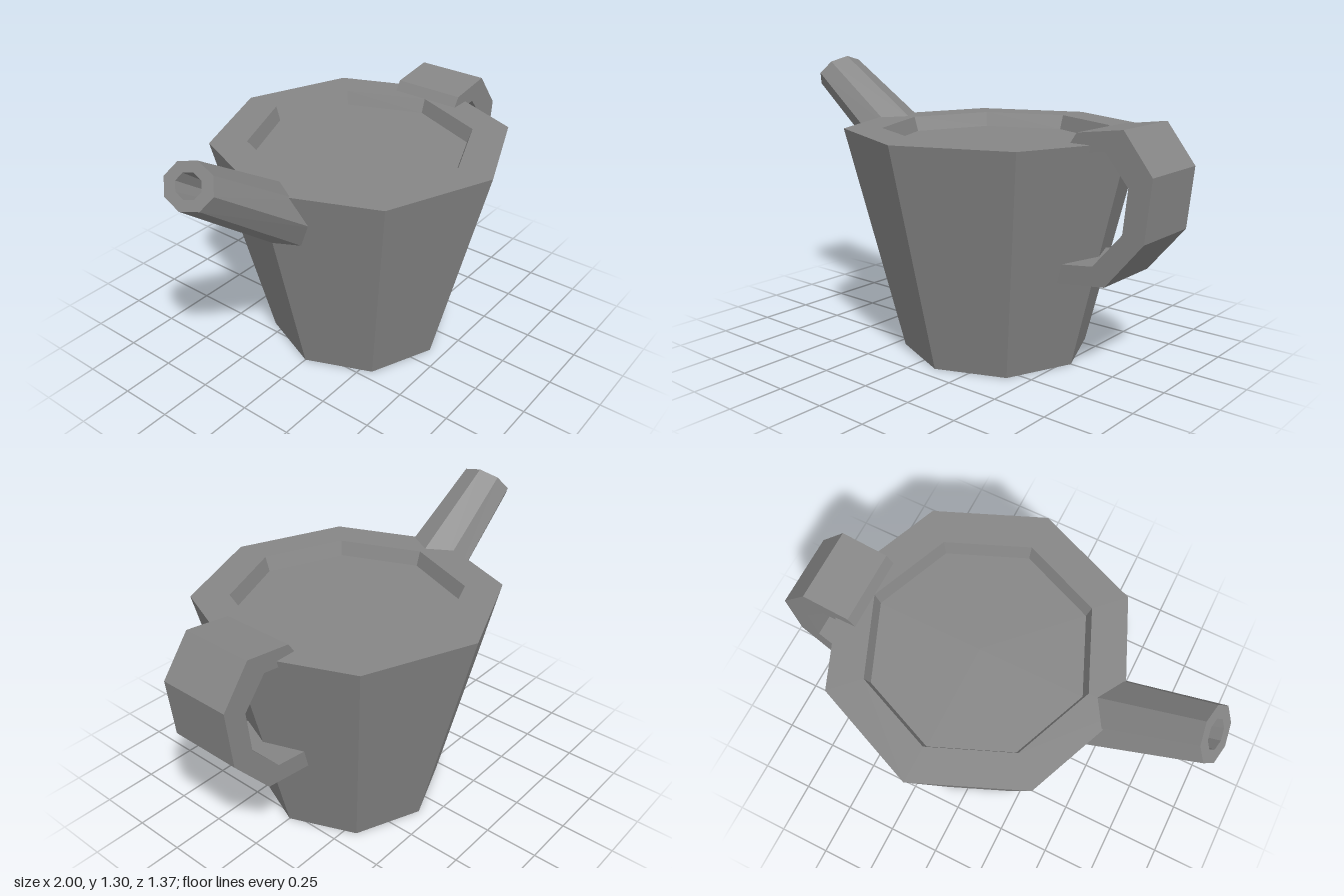
import * as THREE from 'three';

const material = new THREE.MeshStandardMaterial({ color: 0x868686, flatShading: true });

// Eight-sided solid of revolution from [radius, height] pairs, listed base to top
function octagonal(name, profile) {
  const points = profile.map(([r, y]) => new THREE.Vector2(r, y));
  const mesh = new THREE.Mesh(new THREE.LatheGeometry(points, 8), material);
  mesh.name = name;
  return mesh;
}

export function createModel() {
  const model = new THREE.Group();
  model.name = 'wateringCan';

  // Tapered body with a wide rim and a shallow recessed top
  const body = octagonal('body', [
    [0, 0], [0.43, 0], [0.686, 1.03], [0.517, 1.03], [0.495, 0.963], [0, 0.963],
  ]);
  body.position.x = 0.103;
  model.add(body);

  // Spout: slightly tapered, wider in z, with a blind hole at the tip
  const length = 0.62;
  const tilt = 0.95;
  const spout = octagonal('spout', [
    [0, 0], [0.13, 0], [0.1, length], [0.053, length], [0.045, length - 0.14], [0, length - 0.14],
  ]);
  // Slant the buried end so that it stays inside the body wall
  const corners = spout.geometry.attributes.position;
  for (let i = 0; i < corners.count; i++) {
    if (corners.getY(i) < 0.01) corners.setY(i, 0.7 * corners.getX(i));
  }
  spout.scale.z = 1.32;
  spout.rotation.z = tilt;
  spout.position.set(-0.945 + length * Math.sin(tilt), 1.222 - length * Math.cos(tilt), 0);
  model.add(spout);

  // Handle: faceted band extruded across z, both ends buried in the body
  const outline = [
    [0.51, 0.42], [0.8, 0.458], [0.973, 0.665], [1.0, 0.933], [0.865, 1.105],
    [0.65, 1.075], [0.62, 1.03], [0.63, 0.988], [0.785, 1.01], [0.895, 0.88],
    [0.875, 0.69], [0.74, 0.535], [0.51, 0.505],
  ];
  const shape = new THREE.Shape(outline.map(([x, y]) => new THREE.Vector2(x, y)));
  const width = 0.344;
  const handle = new THREE.Mesh(
    new THREE.ExtrudeGeometry(shape, { depth: width, bevelEnabled: false }), material);
  handle.name = 'handle';
  handle.position.z = -width / 2;
  model.add(handle);

  return model;
}
